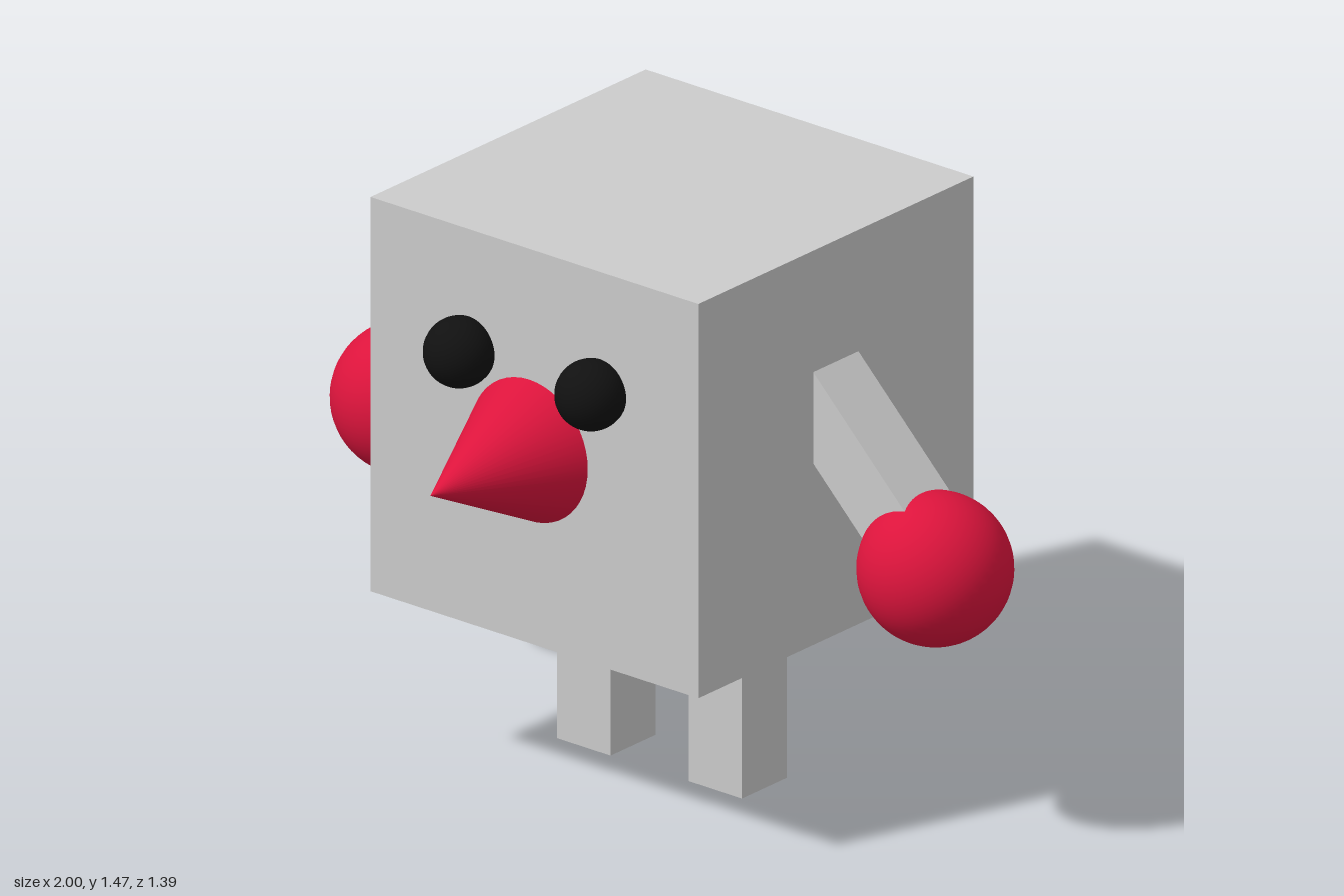
import * as THREE from 'three';

export function createModel() {
  const model = new THREE.Group();
  const grey = new THREE.MeshStandardMaterial({ color: 0xcccccc });
  const red = new THREE.MeshStandardMaterial({ color: 0xdc143c });
  const black = new THREE.MeshStandardMaterial({ color: 0x111111 });
  const midZ = -0.19; // depth of the body's centre

  const add = (name, geometry, material, x, y, z) => {
    const mesh = new THREE.Mesh(geometry, material);
    mesh.name = name;
    mesh.position.set(x, y, z);
    model.add(mesh);
    return mesh;
  };

  // Cube body
  add('body', new THREE.BoxGeometry(1.012, 1.012, 1.012), grey, 0, 0.96, midZ);

  // Cone nose pointing forward
  const nose = new THREE.ConeGeometry(0.181, 0.363, 48).rotateX(Math.PI / 2);
  add('nose', nose, red, 0, 0.96, 0.517);

  // Paired parts
  const legGeometry = new THREE.BoxGeometry(0.166, 0.506, 0.166);
  const armGeometry = new THREE.BoxGeometry(0.166, 0.506, 0.166);
  const handGeometry = new THREE.SphereGeometry(0.187, 48, 32);
  const eyeGeometry = new THREE.SphereGeometry(0.087, 32, 24);
  for (const [side, s] of [['left', 1], ['right', -1]]) {
    add(side + 'Leg', legGeometry, grey, s * 0.203, 0.253, midZ);
    add(side + 'Eye', eyeGeometry, black, s * 0.203, 1.162, 0.35);
    add(side + 'Hand', handGeometry, red, s * 0.813, 0.707, midZ);

    // Arm slopes down and outward from the body into the hand
    const arm = add(side + 'Arm', armGeometry, grey, s * 0.62, 0.923, midZ);
    arm.rotation.z = s * Math.PI / 4;
  }

  return model;
}
